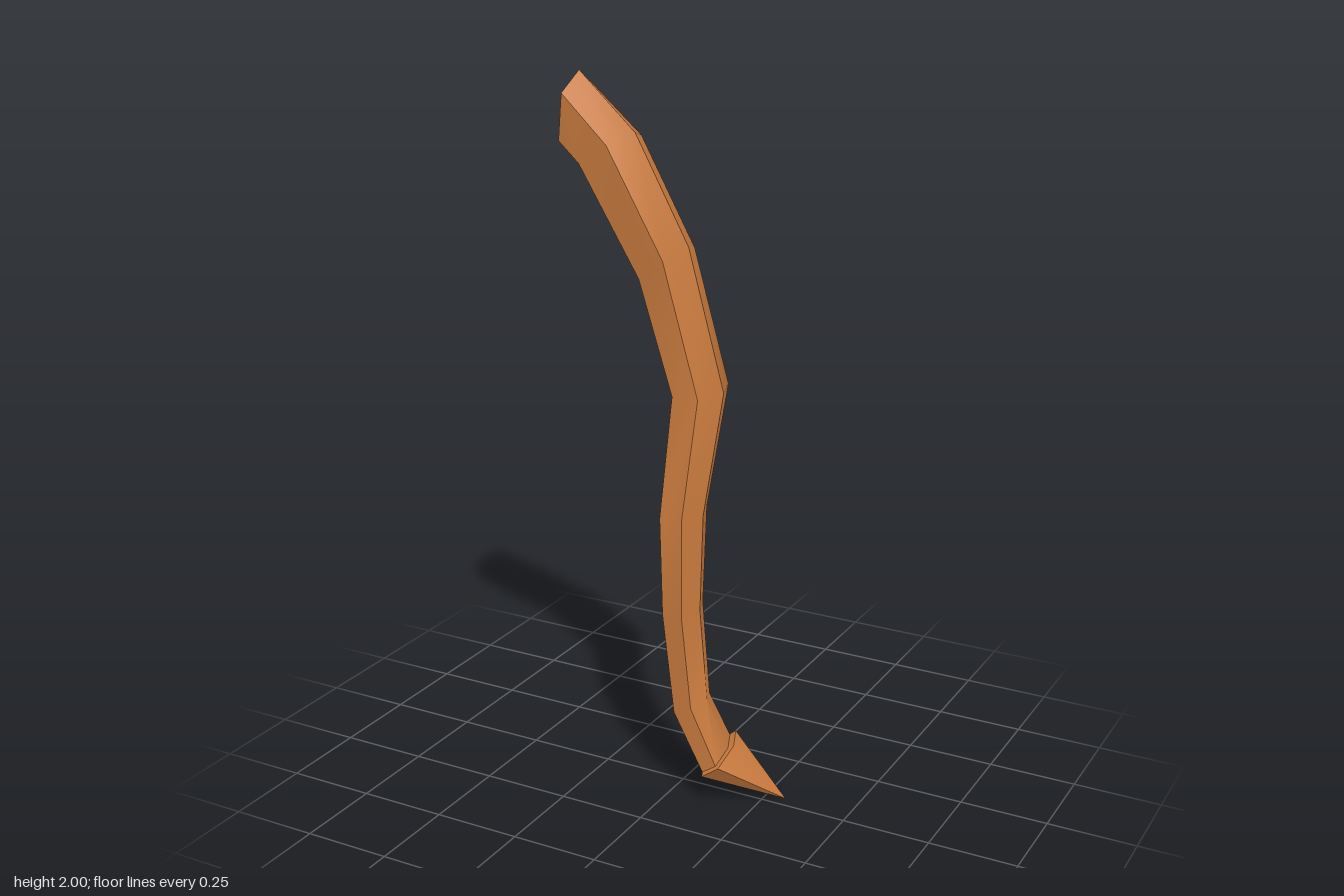
import * as THREE from 'three';
import { toCreasedNormals } from 'three/addons/utils/BufferGeometryUtils.js';

// Six-sided section: centre, ridge vector (rx, ry), side vector (sx, sy, half width in z)
function hexRing([cx, cy, cz, rx, ry, h, sx = 0, sy = 0]) {
  const k = 0.55;
  return [[1, 0], [k, 1], [-k, 1], [-1, 0], [-k, -1], [k, -1]].map(([r, s]) =>
    new THREE.Vector3(cx + r * rx + s * sx, cy + r * ry + s * sy, cz + s * h));
}

// Skin consecutive rings; optional flat cap at the start and point at the end
function skin(rings, capStart, tip) {
  const pos = [];
  const tri = (...pts) => pts.forEach((p) => pos.push(p.x, p.y, p.z));
  for (let i = 0; i < rings.length; i++) {
    for (let k = 0; k < 6; k++) {
      const n = (k + 1) % 6;
      const a = rings[i][k], b = rings[i][n];
      if (i < rings.length - 1) {
        const c = rings[i + 1][n], d = rings[i + 1][k];
        tri(a, b, c);
        tri(a, c, d);
      } else if (tip) tri(a, b, tip);
    }
  }
  if (capStart) for (let k = 1; k < 5; k++) tri(rings[0][0], rings[0][k + 1], rings[0][k]);
  const geo = new THREE.BufferGeometry();
  geo.setAttribute('position', new THREE.Float32BufferAttribute(pos, 3));
  return toCreasedNormals(geo, 0.6);
}

export function createModel() {
  const group = new THREE.Group();
  group.name = 'curvedLimb';
  const brown = new THREE.MeshStandardMaterial({ color: 0xc87a3e });
  brown.name = 'warmBrown';

  // Sections of the bent shaft, from the upper end downwards
  const shaft = [
    [-0.30, 1.888, 0.03, 0.01, 0.112, 0.083],
    [-0.195, 1.802, 0.037, 0.075, 0.048, 0.092],
    [-0.065, 1.50, -0.03, 0.065, 0.05, 0.09],
    [0.03, 1.16, -0.042, 0.07, 0.0, 0.09],
    [0.022, 0.835, 0.04, 0.06, 0.0, 0.074],
    [0.028, 0.56, 0.055, 0.053, 0.003, 0.063],
    [0.047, 0.27, 0.037, 0.048, 0.02, 0.057],
    [0.115, 0.12, 0.018, 0.037, 0.025, 0.088, 0.022, -0.004],
  ].map(hexRing);

  // Flared collar where the claw begins
  const collar = hexRing([0.121, 0.118, 0.013, 0.046, 0.034, 0.105, 0.025, -0.005]);

  const limb = new THREE.Mesh(skin(shaft, true), brown);
  limb.name = 'limbShaft';
  const claw = new THREE.Mesh(
    skin([shaft[shaft.length - 1], collar], false, new THREE.Vector3(0.308, 0, -0.035)), brown);
  claw.name = 'clawTip';
  group.add(limb, claw);
  return group;
}
